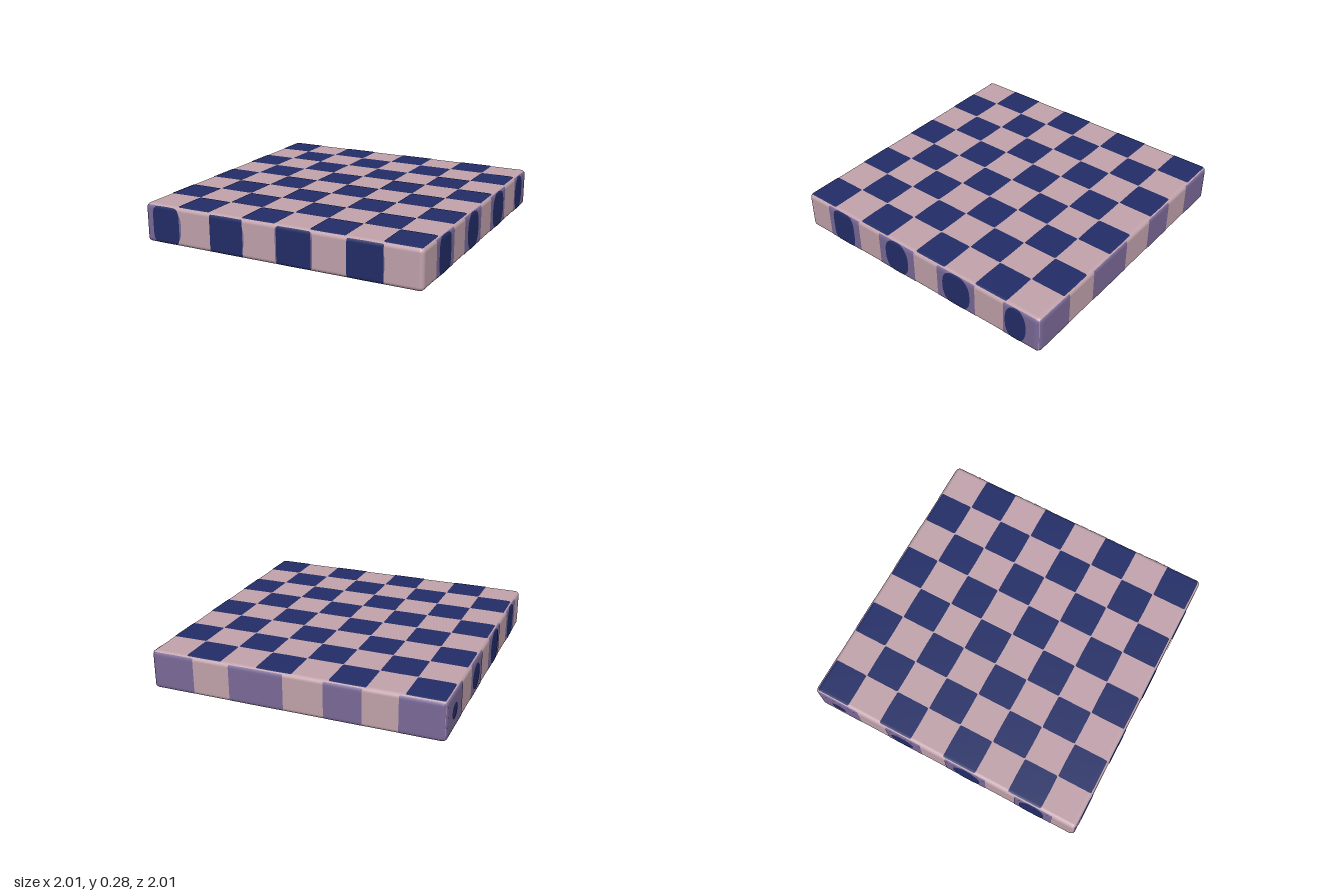
import * as THREE from 'three';
import { RoundedBoxGeometry } from 'three/addons/geometries/RoundedBoxGeometry.js';

const HEIGHT = 0.27, RADIUS = 0.03, MID = HEIGHT / 2;

// Each face maps (a, b) to a point on the box: a runs along world x or z, b along y (or z).
// 'flip' says when a runs leftwards as seen from outside.
const FACES = {
  top: { at: (a, b) => [a, HEIGHT, b], flipB: true },
  bottom: { at: (a, b) => [a, 0, b] },
  front: { at: (a, b) => [a, b, 1] },
  back: { at: (a, b) => [a, b, -1], flip: true },
  right: { at: (a, b) => [1, b, a], flip: true },
  left: { at: (a, b) => [-1, b, a] },
};

// Painted patch: a superellipse wrapped onto the rounded box surface
function patchGeometry(face, a0, a1, b0, b1, power, lift) {
  const { at, flip, flipB } = FACES[face];
  const geo = new THREE.PlaneGeometry(2, 2, 14, 20);
  const pos = geo.attributes.position, nor = geo.attributes.normal;
  const p = new THREE.Vector3(), core = new THREE.Vector3(), dir = new THREE.Vector3();
  const lo = new THREE.Vector3(-1 + RADIUS, RADIUS, -1 + RADIUS);
  const hi = new THREE.Vector3(1 - RADIUS, HEIGHT - RADIUS, 1 - RADIUS);
  for (let i = 0; i < pos.count; i++) {
    const t = Math.sin(pos.getY(i) * Math.PI / 2);
    const width = Math.pow(Math.max(0, 1 - Math.pow(Math.abs(t), power)), 1 / power);
    const u = pos.getX(i) * width * (flip ? -1 : 1);
    const v = flipB ? -t : t;
    p.fromArray(at((a0 + a1) / 2 + u * (a1 - a0) / 2, (b0 + b1) / 2 + v * (b1 - b0) / 2));
    core.copy(p).clamp(lo, hi);
    dir.copy(p).sub(core).normalize();
    p.copy(core).addScaledVector(dir, RADIUS + lift);
    pos.setXYZ(i, p.x, p.y, p.z);
    nor.setXYZ(i, dir.x, dir.y, dir.z);
  }
  return geo;
}

export function createModel() {
  const board = new THREE.Group();
  board.name = 'checkerBoard';
  const make = (name, color) => {
    const m = new THREE.MeshStandardMaterial({ color });
    m.name = name;
    return m;
  };
  const pink = make('dustyPink', 0xc2a3ac);
  const navy = make('navy', 0x222d67);
  const purple = make('mutedPurple', 0x7b6a98);

  const add = (name, geo, material) => {
    const mesh = new THREE.Mesh(geo, material);
    mesh.name = name;
    board.add(mesh);
    return mesh;
  };

  // Slab
  add('slab', new RoundedBoxGeometry(2, HEIGHT, 2, 5, RADIUS), pink).position.y = MID;

  // Underside
  add('underside', patchGeometry('bottom', -0.975, 0.975, -0.975, 0.975, 200, 0.002), purple);

  // Dark squares on the top
  const edge = i => -0.988 + i * 0.247;
  for (let row = 0; row < 8; row++) {
    for (let col = 0; col < 8; col++) {
      if ((row + col) % 2) continue;
      add('darkSquare', patchGeometry('top', edge(col), edge(col + 1), edge(row), edge(row + 1), 24, 0.003), navy);
    }
  }

  // Side paint: [start, end] along the side, bottom, top, roundness
  const paint = (name, face, list, material, lift) => list.forEach(([a0, a1, b0, b1, power]) =>
    add(name, patchGeometry(face, a0, a1, b0, b1, power, lift), material));
  const band = (a0, a1) => [a0, a1, 0.002, 0.268, 60];

  // Front
  paint('frontBand', 'front', [band(-0.998, -0.9), [-0.86, -0.715, 0.03, 0.24, 3],
    [-0.47, -0.225, 0.03, 0.24, 3], [0.005, 0.27, 0.005, 0.265, 10], [0.52, 0.757, 0.03, 0.24, 3]], purple, 0.002);
  paint('frontSquare', 'front', [[-0.94, -0.73, 0.005, 0.265, 5], [-0.485, -0.235, 0.005, 0.265, 24],
    [0.015, 0.26, 0.005, 0.265, 16], [0.505, 0.75, 0.005, 0.265, 24]], navy, 0.004);

  // Right-hand side of the front view (+x)
  paint('sideBand', 'right', [band(0.51, 0.8), band(0.01, 0.32), band(-0.5, -0.19), band(-0.998, -0.725)], purple, 0.002);
  paint('sideSpot', 'right', [[0.565, 0.758, 0.008, 0.265, 4], [0.065, 0.265, 0.008, 0.265, 2.5],
    [-0.46, -0.235, 0.008, 0.265, 2.6], [-0.9, -0.74, 0.008, 0.265, 2.3]], navy, 0.004);

  // Opposite side (-x)
  paint('sideBand', 'left', [band(-0.998, -0.66), band(-0.44, -0.17), band(0.02, 0.33), band(0.55, 0.83)], purple, 0.002);
  paint('sideSpot', 'left', [[-0.885, -0.775, 0.085, 0.19, 2], [-0.405, -0.235, 0.05, 0.225, 2],
    [0.085, 0.285, 0.02, 0.26, 2.5], [0.59, 0.77, 0.008, 0.265, 3]], navy, 0.004);

  // Back
  paint('backBand', 'back', [band(0.695, 0.998), band(0.058, 0.437), band(-0.47, -0.215), band(-0.998, -0.705)], purple, 0.002);

  return board;
}
